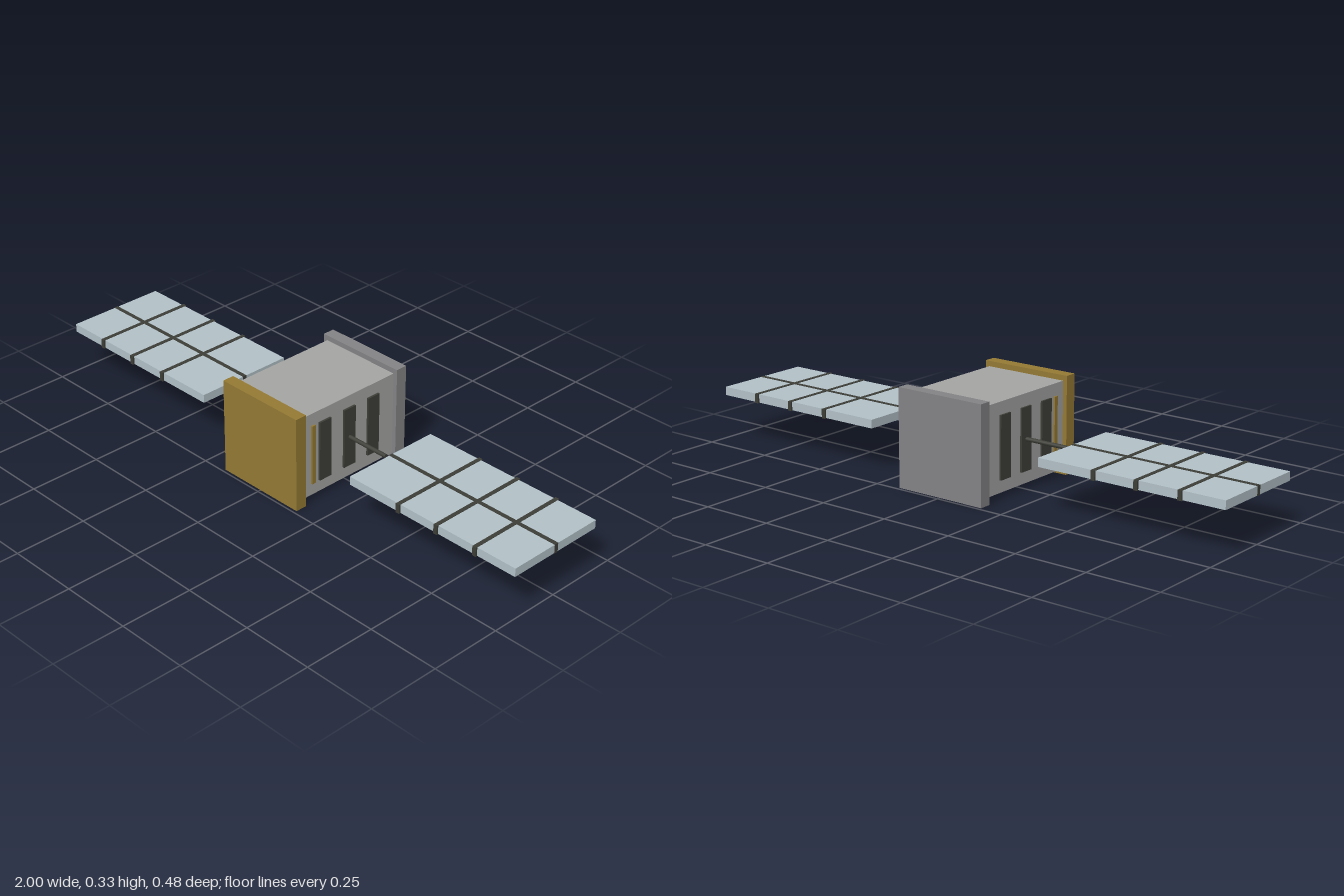
import * as THREE from 'three';

const mat = (name, color) => {
  const m = new THREE.MeshStandardMaterial({ color });
  m.name = name;
  return m;
};

export function createModel() {
  const model = new THREE.Group();
  model.name = 'satellite';
  const gold = mat('gold', 0x947a34);
  const bodyGrey = mat('body grey', 0xa4a4a3);
  const plateGrey = mat('plate grey', 0x838385);
  const cellBlue = mat('pale panel blue', 0xb2c1c8);
  const dark = mat('dark trim', 0x3e3e38);

  const box = (name, material, size, pos, parent = model) => {
    const mesh = new THREE.Mesh(new THREE.BoxGeometry(...size), material);
    mesh.name = name;
    mesh.position.set(...pos);
    parent.add(mesh);
    return mesh;
  };

  // Main body between two end plates
  const midY = 0.165;
  box('body', bodyGrey, [0.3, 0.294, 0.4], [0, midY, 0]);
  box('frontPlate', gold, [0.33, 0.33, 0.041], [0, midY, 0.2185]);
  box('backPlate', plateGrey, [0.33, 0.33, 0.041], [0, midY, -0.2185]);

  for (const side of [1, -1]) {
    const label = side > 0 ? 'left' : 'right';

    // Vents and gold strip on the side wall
    for (const z of [0.105, 0, -0.105]) {
      box(label + 'Vent', dark, [0.01, 0.21, 0.049], [side * 0.152, midY, z]);
    }
    box(label + 'GoldStrip', gold, [0.008, 0.21, 0.015], [side * 0.152, midY, 0.155]);

    // Strut towards the panel
    const strut = new THREE.Mesh(new THREE.CylinderGeometry(0.007, 0.007, 0.17, 12), dark);
    strut.name = label + 'Strut';
    strut.rotation.z = Math.PI / 2;
    strut.position.set(side * 0.23, midY, 0);
    model.add(strut);

    // Solar panel with bands wrapped around it
    const panel = new THREE.Group();
    panel.name = label + 'SolarPanel';
    model.add(panel);
    box('panelSlab', cellBlue, [0.664, 0.029, 0.354], [side * 0.667, midY, 0], panel);
    box('lengthBand', dark, [0.666, 0.032, 0.014], [side * 0.667, midY, 0], panel);
    for (const x of [0.541, 0.694, 0.847]) {
      box('crossBand', dark, [0.014, 0.032, 0.366], [side * x, midY, 0], panel);
    }
  }
  return model;
}
